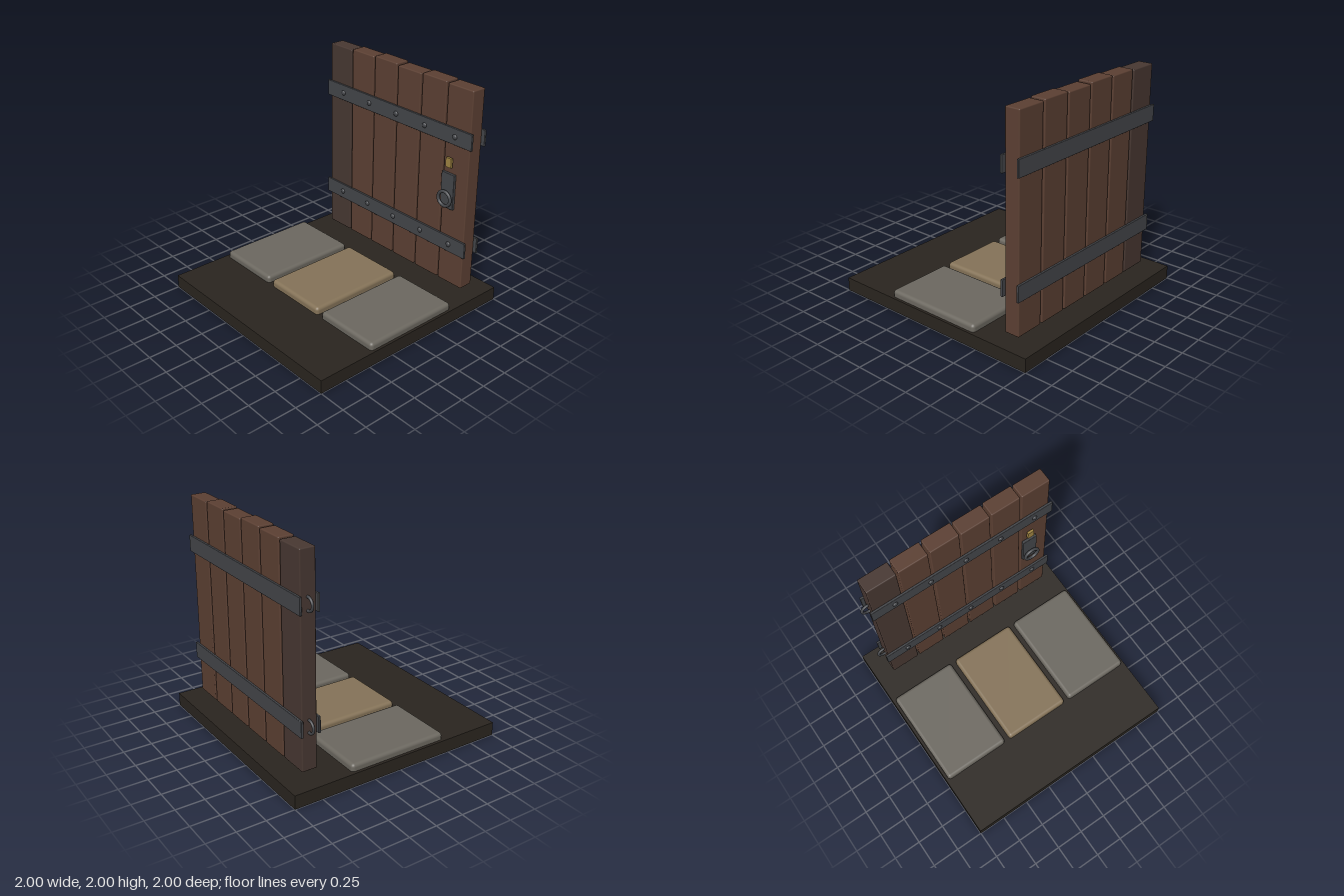
import * as THREE from 'three';
import { RoundedBoxGeometry } from 'three/addons/geometries/RoundedBoxGeometry.js';

const mat = (color) => new THREE.MeshStandardMaterial({ color });

export function createModel() {
  const model = new THREE.Group();
  const iron = mat(0x44464a);
  const wood = mat(0x5c4033);
  const darkWood = mat(0x483832);
  const greyStone = mat(0x6c6860);
  const tanStone = mat(0x857358);

  const add = (name, geometry, material, x, y, z, parent = model) => {
    const mesh = new THREE.Mesh(geometry, material);
    mesh.name = name;
    mesh.position.set(x, y, z);
    parent.add(mesh);
    return mesh;
  };
  const block = (w, h, d, r, segments = 2) => new RoundedBoxGeometry(w, h, d, segments, r);

  // Ground slab
  add('base', new THREE.BoxGeometry(2, 0.12, 2), mat(0x2a251f), 0, 0.06, 0);

  // Three paving stones, sunk a little into the base
  const stone = block(0.617, 0.12, 0.915, 0.03, 3);
  [-0.666, 0.001, 0.668].forEach((x, i) =>
    add('pavingStone', stone, i === 1 ? tanStone : greyStone, x, 0.122, 0.002));

  // Door planks with slightly uneven tops and tilts
  const door = new THREE.Group();
  door.name = 'door';
  model.add(door);
  const tops = [1.982, 1.991, 2.0, 1.987, 1.996, 1.988];
  const tilts = [0, -0.001, -0.001, 0.001, 0.0015, 0.0015];
  tops.forEach((top, i) => {
    const bottom = 0.172;
    const plank = add('plank', block(0.27, top - bottom, 0.136, 0.01), i ? wood : darkWood,
      -0.697 + 0.2866 * i, (top + bottom) / 2, -0.758, door);
    plank.rotation.z = tilts[i];
  });

  // Iron straps on both faces, with rivets and a hinge ring
  const strap = block(1.76, 0.145, 0.021, 0.005);
  const rivet = new THREE.SphereGeometry(0.024, 16, 10);
  rivet.scale(1, 1, 0.65);
  const hingeRing = new THREE.TorusGeometry(0.055, 0.012, 10, 32);
  for (const y of [0.56, 1.559]) {
    add('frontStrap', strap, iron, 0.021, y, -0.681, door);
    add('backStrap', strap, iron, 0.021, y, -0.837, door);
    add('hingeRing', hingeRing, iron, -0.842, y, -0.762, door);
    for (let i = 0; i < 5; i++) {
      add('rivet', rivet, iron, -0.642 + 0.3405 * i, y, -0.67, door);
    }
  }

  // Handle plate, pull ring and brass latch
  add('handlePlate', block(0.142, 0.324, 0.027, 0.006), iron, 0.678, 1.06, -0.674, door);
  add('pullRing', new THREE.TorusGeometry(0.066, 0.0145, 12, 36), iron, 0.678, 0.997, -0.63, door);
  add('brassLatch', new THREE.BoxGeometry(0.059, 0.084, 0.022), mat(0xa08442), 0.68, 1.32, -0.666, door);

  return model;
}
